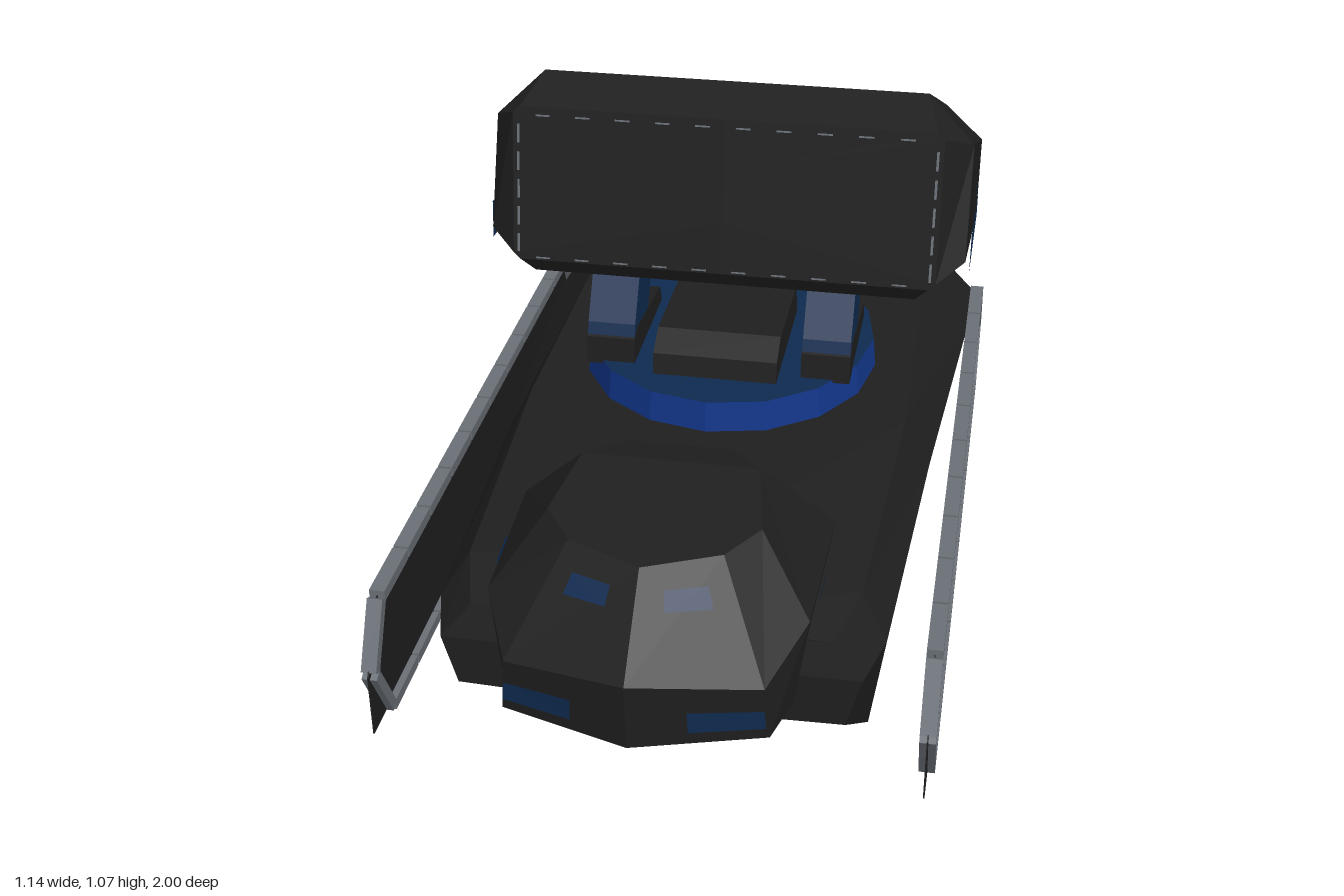
import * as THREE from 'three';

const mat = (name, color) => {
  const m = new THREE.MeshStandardMaterial({ color, flatShading: true, side: THREE.DoubleSide });
  m.name = name;
  return m;
};

// Symmetric loft: each section is a half outline [x, y, z], mirrored across x = 0.
// The first cap folds along the centre line, the last cap is flat across.
function loft(sections) {
  const mirror = p => [-p[0], p[1], p[2]];
  const rings = sections.map(h => [...h, ...h.map(mirror).reverse()]);
  const tris = [];
  const quad = (a, b, c, d) => tris.push([a, b, c], [a, c, d]);
  const n = rings[0].length;
  for (let r = 0; r < rings.length - 1; r++) {
    for (let i = 0; i < n; i++) {
      const j = (i + 1) % n;
      quad(rings[r][i], rings[r][j], rings[r + 1][j], rings[r + 1][i]);
    }
  }
  const first = sections[0], last = sections[sections.length - 1], top = first.length - 1;
  const centre = i => [0, ...[1, 2].map(k => first[0][k] + (first[top][k] - first[0][k]) * i / top)];
  for (let i = 0; i < top; i++) {
    quad(first[i + 1], centre(i + 1), centre(i), first[i]);
    quad(mirror(first[i]), centre(i), centre(i + 1), mirror(first[i + 1]));
    quad(last[i], mirror(last[i]), mirror(last[i + 1]), last[i + 1]);
  }
  // Drop empty triangles and make the winding face outward
  const v = p => new THREE.Vector3(...p);
  const solid = tris.filter(([a, b, c]) => v(b).sub(v(a)).cross(v(c).sub(v(a))).length() > 1e-8);
  const volume = solid.reduce((s, [a, b, c]) => s + v(a).dot(v(b).cross(v(c))), 0);
  const pts = solid.flatMap(t => (volume < 0 ? [t[0], t[2], t[1]] : t)).flat();
  const g = new THREE.BufferGeometry();
  g.setAttribute('position', new THREE.Float32BufferAttribute(pts, 3));
  g.computeVertexNormals();
  return g;
}

// Thin painted face: part of the four-cornered face a-b-c-d, shifted by an offset
function patch([a, b, c, d], u0, u1, v0, v1, off, side = 1) {
  const at = (u, v) => [0, 1, 2].map(k =>
    ((a[k] * (1 - u) + b[k] * u) * (1 - v) + (d[k] * (1 - u) + c[k] * u) * v + off[k]) * (k ? 1 : side));
  const p = [at(u0, v0), at(u1, v0), at(u1, v1), at(u0, v1)];
  const order = side > 0 ? [0, 1, 2, 0, 2, 3] : [0, 2, 1, 0, 3, 2];
  const g = new THREE.BufferGeometry();
  g.setAttribute('position', new THREE.Float32BufferAttribute(order.flatMap(i => p[i]), 3));
  g.computeVertexNormals();
  return g;
}

// Side profile in (z, y), extruded along x and centred on x
function sideExtrude(points, width, x) {
  const shape = new THREE.Shape(points.map(p => new THREE.Vector2(...p)));
  const g = new THREE.ExtrudeGeometry(shape, { depth: width, bevelEnabled: false });
  return g.rotateY(-Math.PI / 2).translate(x + width / 2, 0, 0);
}

export function createModel() {
  const model = new THREE.Group();
  const dark = mat('charcoal armour', 0x1f1f1f);
  const blue = mat('blue', 0x12368a);
  const navy = mat('dark blue', 0x0f2b50);
  const grey = mat('track grey', 0x6a7077);
  const add = (name, geometry, material, parent = model) => {
    const m = new THREE.Mesh(geometry, material);
    m.name = name;
    parent.add(m);
    return m;
  };

  // Hull, rear to front, with a notched tail
  add('hull', loft([
    [[0, 0.17, -0.81], [0.40, 0.20, -1.0], [0.43, 0.29, -1.0], [0.41, 0.37, -1.0], [0, 0.36, -0.81]],
    [[0, 0.025, -0.66], [0.45, 0.005, -0.81], [0.535, 0.28, -0.89], [0.40, 0.42, -0.89], [0, 0.40, -0.72]],
    [[0, 0.025, -0.5], [0.45, 0.005, -0.68], [0.54, 0.28, -0.7], [0.42, 0.415, -0.7], [0, 0.41, -0.6]],
    [[0, 0.025, 0], [0.44, 0.005, 0], [0.49, 0.28, 0], [0.43, 0.39, 0], [0, 0.40, 0]],
    [[0, 0.025, 0.58], [0.42, 0.005, 0.58], [0.455, 0.28, 0.66], [0.40, 0.365, 0.62], [0, 0.38, 0.6]],
    [[0, 0.20, 0.84], [0.39, 0.16, 0.78], [0.42, 0.27, 0.78], [0.36, 0.34, 0.76], [0, 0.36, 0.76]],
  ]), dark);

  // Cab, bottom to top, each level running from nose to rear
  const cab = [
    [[0, 0.18, 0.84], [0.22, 0.18, 0.82], [0.27, 0.18, 0.78], [0.28, 0.2, 0.5], [0.14, 0.2, 0.42], [0, 0.2, 0.4]],
    [[0, 0.22, 0.985], [0.26, 0.22, 0.91], [0.29, 0.22, 0.8], [0.30, 0.25, 0.48], [0.15, 0.25, 0.4], [0, 0.25, 0.36]],
    [[0, 0.37, 0.995], [0.25, 0.34, 0.92], [0.315, 0.4, 0.78], [0.325, 0.41, 0.45], [0.15, 0.40, 0.36], [0, 0.40, 0.335]],
    [[0, 0.53, 0.84], [0.15, 0.535, 0.78], [0.21, 0.545, 0.70], [0.18, 0.57, 0.53], [0.11, 0.545, 0.43], [0, 0.545, 0.40]],
  ];
  add('cab', loft(cab), dark);
  for (const s of [1, -1]) {
    const face = (lo, i) => [cab[lo][i], cab[lo][i + 1], cab[lo + 1][i + 1], cab[lo + 1][i]];
    add('headlight', patch(face(1, 0), 0.43, 0.98, 0.24, 0.6, [0.002, 0, 0.007], s), navy);
    add('eyeSlit', patch(face(2, 0), 0.28, 0.74, 0.6, 0.78, [0.003, 0.006, 0.006], s), navy);
    add('sideVent', patch(face(1, 2), 0.3, 0.55, 0.6, 0.97, [0.007, 0, 0], s), navy);
  }

  // Tracks: a sheet-thin side plate edged with link bars
  const loop = [[0.835, 0.2], [0.76, 0.335], [-0.775, 0.335], [-0.84, 0.2], [-0.775, 0.06], [0.76, 0.06]];
  const plate = [[0.85, 0.2], [0.76, 0.335], [-0.775, 0.335], [-0.84, 0.2], [-0.775, 0.06], [0.85, 0.06]];
  for (const s of [1, -1]) {
    const track = new THREE.Group();
    track.name = s > 0 ? 'leftTrack' : 'rightTrack';
    model.add(track);
    add('trackPlate', sideExtrude(plate, 0.003, s * 0.553), dark, track);
    loop.forEach(([z0, y0], i) => {
      const [z1, y1] = loop[(i + 1) % loop.length];
      const length = Math.hypot(z1 - z0, y1 - y0);
      const count = Math.max(1, Math.round(length / 0.155));
      for (let k = 0; k < count; k++) {
        const t = (k + 0.5) / count;
        const link = add('trackLink', new THREE.BoxGeometry(0.032, 0.024, length / count * 0.96), grey, track);
        link.position.set(s * 0.553, y0 + (y1 - y0) * t, z0 + (z1 - z0) * t);
        link.rotation.x = -Math.atan2(y1 - y0, z1 - z0);
      }
    });
  }

  // Turntable: bright rim, darker top
  const ring = add('turntable', new THREE.CylinderGeometry(0.355, 0.362, 0.07, 16), [blue, navy, blue]);
  ring.scale.x = 0.94;
  ring.position.set(0, 0.437, -0.22);

  // Pedestal and support arms
  add('pedestal', sideExtrude([[0.03, 0.465], [0.02, 0.52], [-0.04, 0.555], [-0.3, 0.55], [-0.33, 0.465]], 0.28, 0), dark);
  for (const s of [1, -1]) {
    add('armFoot', sideExtrude([[-0.01, 0.465], [-0.015, 0.53], [-0.05, 0.545], [-0.31, 0.515], [-0.33, 0.465]],
      0.11, s * 0.245), dark);
    add('supportArm', sideExtrude([[-0.02, 0.53], [-0.03, 0.56], [-0.09, 0.66], [-0.14, 0.7], [-0.25, 0.66], [-0.16, 0.51]],
      0.108, s * 0.245), navy);
  }

  // Launcher box, front to rear: eight-sided sections between a bottom and a top point
  const section = (w, wc, [zb, yb], [zt, yt], lo, hi) => [[wc, 0], [w, lo], [w, hi], [wc, 1]]
    .map(([x, t]) => [x, yb + (yt - yb) * t, zb + (zt - zb) * t]);
  add('launcherBox', loft([
    section(0.475, 0.46, [-0.06, 0.69], [-0.12, 1.035], 0.04, 0.96),
    section(0.535, 0.43, [-0.08, 0.655], [-0.24, 1.077], 0.2, 0.77),
    section(0.54, 0.45, [-0.61, 0.543], [-0.70, 0.87], 0.22, 0.77),
    section(0.48, 0.42, [-0.72, 0.60], [-0.755, 0.79], 0.2, 0.8),
  ]), dark);

  // Fine dashed trim around the launcher front
  const front = [[-0.465, 0.695, -0.061], [0.465, 0.695, -0.061], [0.465, 1.02, -0.117], [-0.465, 1.02, -0.117]];
  const lift = [0, 0, 0.003];
  for (let i = 0; i < 10; i++) {
    const u = 0.045 + i * 0.096;
    for (const v of [0, 0.988]) add('frontTrim', patch(front, u, u + 0.035, v, v + 0.012, lift), grey);
  }
  for (let i = 0; i < 5; i++) {
    const v = 0.04 + i * 0.19;
    for (const u of [0, 0.994]) add('frontTrim', patch(front, u, u + 0.006, v, v + 0.13, lift), grey);
  }

  // Painted marks on the launcher sides
  for (const s of [1, -1]) {
    const x = 0.544;
    const stripe = [[x, 0.70, -0.14], [x, 0.68, -0.49], [x, 0.735, -0.49], [x, 0.785, -0.15]];
    const mark = [[x, 0.825, -0.25], [x, 0.82, -0.31], [x, 0.85, -0.31], [x, 0.855, -0.26]];
    add('sideStripe', patch(stripe, 0, 1, 0, 1, [0, 0, 0], s), navy);
    add('sideMark', patch(mark, 0, 1, 0, 1, [0, 0, 0], s), navy);
  }
  return model;
}
